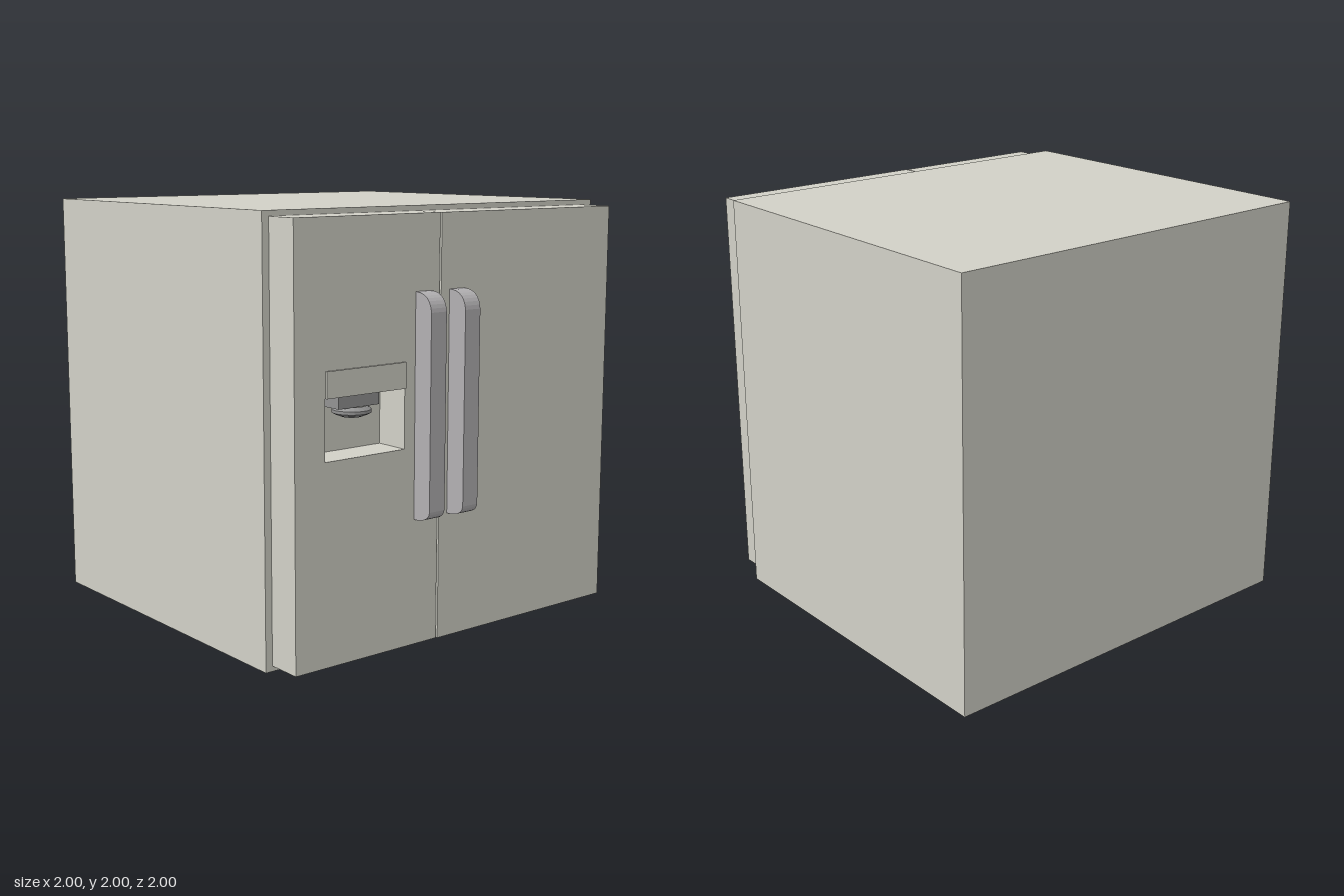
import * as THREE from 'three';

const shell = new THREE.MeshStandardMaterial({ color: 0xd2d1c7 });
const metal = new THREE.MeshStandardMaterial({ color: 0xb2b0b2 });
const dark = new THREE.MeshStandardMaterial({ color: 0x929292, flatShading: true });

export function createModel() {
  const model = new THREE.Group();
  model.name = 'refrigerator';

  const add = (name, geometry, material) => {
    const mesh = new THREE.Mesh(geometry, material);
    mesh.name = name;
    model.add(mesh);
    return mesh;
  };

  // Box given by its lower and upper corners
  const box = (name, [x0, y0, z0], [x1, y1, z1], material) =>
    add(name, new THREE.BoxGeometry(x1 - x0, y1 - y0, z1 - z0), material)
      .position.set((x0 + x1) / 2, (y0 + y1) / 2, (z0 + z1) / 2);

  const rectangle = (path, x0, y0, x1, y1) =>
    path.moveTo(x0, y0).lineTo(x1, y0).lineTo(x1, y1).lineTo(x0, y1).closePath();

  // Cabinet and wide door
  box('cabinet', [-1, 0, -1], [1, 2, 0.72], shell);
  box('wideDoor', [-0.155, 0.025, 0.72], [0.94, 1.975, 0.895], shell);

  // Narrow door with the dispenser recess cut through to the cabinet
  const door = rectangle(new THREE.Shape(), -0.965, 0.025, -0.16, 1.975);
  door.holes.push(rectangle(new THREE.Path(), -0.805, 0.94, -0.36, 1.213));
  add('narrowDoor', new THREE.ExtrudeGeometry(door, { depth: 0.17, bevelEnabled: false }), shell)
    .position.z = 0.72;

  // Dispenser: control panel, spout block and nozzle
  box('dispenserPanel', [-0.802, 1.213, 0.88], [-0.36, 1.33, 0.9], shell);
  box('spoutBlock', [-0.7, 1.15, 0.72], [-0.475, 1.215, 0.85], dark);
  const nozzle = [[0, 1.098], [0.045, 1.103], [0.07, 1.112], [0.088, 1.122], [0.088, 1.136], [0.067, 1.152]]
    .map(([r, y]) => new THREE.Vector2(r, y));
  add('nozzle', new THREE.LatheGeometry(nozzle, 24), dark).position.set(-0.588, 0, 0.8);

  // Handles: side profile (depth, height) with rounded ends, extruded across the width
  const profile = new THREE.Shape();
  profile.moveTo(0, 0.61);
  profile.bezierCurveTo(0.06, 0.61, 0.1, 0.625, 0.105, 0.66);
  profile.lineTo(0.105, 1.55);
  profile.bezierCurveTo(0.1, 1.6, 0.07, 1.635, 0, 1.635);
  profile.closePath();
  const grip = new THREE.ExtrudeGeometry(profile, { depth: 0.09, bevelEnabled: false, curveSegments: 8 });
  grip.rotateY(-Math.PI / 2);
  add('narrowDoorHandle', grip, metal).position.set(-0.21, 0, 0.888);
  add('wideDoorHandle', grip, metal).position.set(-0.015, 0, 0.895);

  return model;
}
